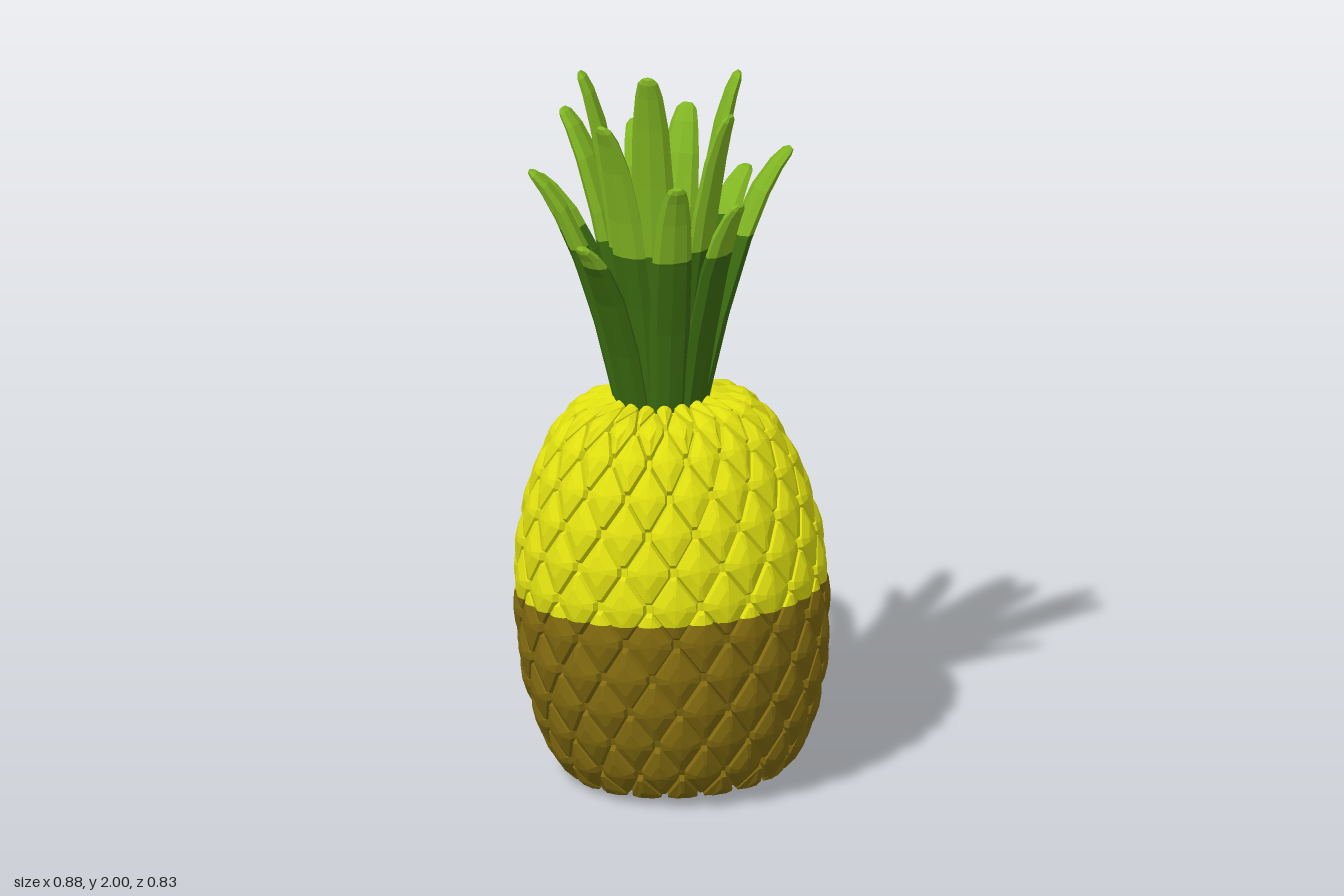
import * as THREE from 'three';

const V3 = THREE.Vector3;
const LEAN = 0.055; // the whole fruit leans slightly towards its right

function paint(name, color) {
  const m = new THREE.MeshStandardMaterial({ color });
  m.name = name;
  return m;
}

// Cut one triangle with the leaning plane at height h, keeping one side
function clip(tri, h, sign) {
  const out = [];
  const d = (p) => sign * (p.y - LEAN * p.x - h);
  tri.forEach((a, i) => {
    const b = tri[(i + 1) % 3];
    const da = d(a), db = d(b);
    if (da >= 0) out.push(a);
    if ((da >= 0) !== (db >= 0)) out.push(a.clone().lerp(b, da / (da - db)));
  });
  return out;
}

// Flat-shaded lower and upper meshes from a list of triangles
function twoTone(name, tris, h, lowMat, highMat, lowName, highName) {
  const group = new THREE.Group();
  group.name = name;
  [[-1, lowMat, lowName], [1, highMat, highName]].forEach(([sign, mat, part]) => {
    const pts = [];
    for (const t of tris) {
      const poly = clip(t, h, sign);
      for (let i = 1; i + 1 < poly.length; i++) pts.push(poly[0], poly[i], poly[i + 1]);
    }
    if (!pts.length) return;
    const geo = new THREE.BufferGeometry().setFromPoints(pts);
    geo.computeVertexNormals();
    const mesh = new THREE.Mesh(geo, mat);
    mesh.name = part;
    group.add(mesh);
  });
  return group;
}

// Triangles between two rings of points
function band(tris, a, b) {
  const n = a.length;
  for (let k = 0; k < n; k++) {
    const j = (k + 1) % n;
    tris.push([a[k], a[j], b[j]], [a[k], b[j], b[k]]);
  }
}

function fan(tris, ring, centre) {
  ring.forEach((p, k) => tris.push([p, ring[(k + 1) % ring.length], centre]));
}

// Fruit: an inset core covered in staggered diamond scales
function bodyTriangles() {
  const profile = new THREE.SplineCurve([
    [0.275, 0.0], [0.32, 0.05], [0.36, 0.14], [0.395, 0.28], [0.407, 0.42], [0.402, 0.6],
    [0.372, 0.75], [0.318, 0.89], [0.24, 0.995], [0.13, 1.03],
  ].map(([r, y]) => new THREE.Vector2(r, y)));
  profile.arcLengthDivisions = 400;
  const around = 18, rows = 12, inset = -0.016;

  const onProfile = (u, off) => {
    const c = THREE.MathUtils.clamp(u, 0, 1);
    const p = profile.getPointAt(c), t = profile.getTangentAt(c);
    return new THREE.Vector2(p.x + t.y * off, Math.max(0, p.y - t.x * off));
  };
  const lean = (p) => p.applyAxisAngle(new V3(0, 0, 1), LEAN).add(new V3(0.04, 0.019, 0));
  const at = (u, phi, off) => {
    const p = onProfile(u, off);
    return lean(new V3(p.x * Math.sin(phi), p.y, p.x * Math.cos(phi)));
  };

  const tris = [];
  // core
  const line = [new THREE.Vector2(0, 0)];
  for (let i = 0; i <= rows * 2; i++) line.push(onProfile(i / (rows * 2), inset));
  line.push(new THREE.Vector2(0, 1.015));
  const pos = new THREE.LatheGeometry(line, around * 2).toNonIndexed().attributes.position;
  for (let i = 0; i < pos.count; i += 3) {
    tris.push([0, 1, 2].map((k) => lean(new V3().fromBufferAttribute(pos, i + k))));
  }
  // scales: diamonds with clipped corners
  const c = 0.12;
  const diamond = [[1 - c, -c], [1 - c, c], [c, 1 - c], [-c, 1 - c],
    [c - 1, c], [c - 1, -c], [-c, c - 1], [c, c - 1]];
  for (let row = 0; row <= rows; row++) {
    for (let i = 0; i < around; i++) {
      const phi = ((i + (row % 2) / 2) / around) * Math.PI * 2;
      const ring = (s, off) => diamond.map(([a, b]) =>
        at((row + b * s) / rows, phi + (a * s * Math.PI) / around, off));
      const foot = ring(1, inset), rim = ring(0.9, 0), hump = ring(0.45, 0.009);
      band(tris, foot, rim);
      band(tris, rim, hump);
      fan(tris, hump, at(row / rows, phi, 0.012));
    }
  }
  return tris;
}

// Leaf: an oval section swept along an outward-curling path
function leafTriangles(tip, rootRadius, halfWidth) {
  const centre = new V3(-0.02, 1.0, 0);
  const out = tip.clone().sub(centre).setY(0).normalize();
  const root = centre.clone().addScaledVector(out, rootRadius);
  const bend = root.clone().lerp(tip, 0.45);
  bend.y = root.y + 0.85 * (tip.y - root.y);
  const path = new THREE.QuadraticBezierCurve3(root, bend, tip);
  const side = new V3(0, 1, 0).cross(out);
  const stations = [[0, 0.85, 0.024], [0.25, 1, 0.026], [0.5, 0.98, 0.025], [0.7, 0.84, 0.022],
    [0.86, 0.64, 0.017], [0.96, 0.47, 0.013], [1, 0.25, 0.006]];
  const rings = stations.map(([t, w, thick]) => {
    const p = path.getPoint(t);
    const n = path.getTangent(t).cross(side).normalize();
    return Array.from({ length: 8 }, (_, k) => {
      const a = (k / 8) * Math.PI * 2;
      return p.clone().addScaledVector(side, Math.cos(a) * w * halfWidth)
        .addScaledVector(n, Math.sin(a) * thick);
    });
  });
  const tris = [];
  for (let i = 0; i + 1 < rings.length; i++) band(tris, rings[i], rings[i + 1]);
  fan(tris, rings[rings.length - 1], tip);
  fan(tris, [...rings[0]].reverse(), root);
  return tris;
}

export function createModel() {
  const yellow = paint('ripe yellow', 0xdede10);
  const brown = paint('golden brown', 0x80690f);
  const lightGreen = paint('light leaf green', 0x80b522);
  const darkGreen = paint('dark leaf green', 0x3b6b10);

  const model = new THREE.Group();
  model.name = 'pineapple';
  model.add(twoTone('fruit', bodyTriangles(), 0.531, brown, yellow, 'lowerFruit', 'upperFruit'));

  const crown = new THREE.Group();
  crown.name = 'crown';
  model.add(crown);

  // leaf tips, outer curling ring first, then the upright inner leaves
  const outer = [
    [-0.05, 1.57, -0.405], [0.18, 1.7, -0.3], [-0.3, 1.69, -0.24], [0.245, 1.635, 0],
    [0.165, 1.71, 0.17], [-0.05, 1.535, 0.31], [-0.3, 1.67, 0.21], [-0.44, 1.575, 0.01],
  ];
  const inner = [
    [-0.13, 1.77, -0.25], [0.12, 1.94, -0.155], [0.18, 1.86, -0.04], [0.07, 2.0, 0.175],
    [-0.03, 1.86, 0.245], [-0.21, 1.94, 0.11], [-0.315, 1.8, 0.05],
  ];
  [[outer, 0.095, 0.054, 'outerLeaf'], [inner, 0.065, 0.058, 'innerLeaf']].forEach(([tips, r, w, name]) => {
    tips.forEach((t) => crown.add(twoTone(name, leafTriangles(new V3(...t), r, w), 1.474,
      darkGreen, lightGreen, 'leafBase', 'leafTip')));
  });

  // stem hidden between the leaves
  const stemGeo = new THREE.CylinderGeometry(0.075, 0.1, 0.46, 8).toNonIndexed();
  stemGeo.computeVertexNormals();
  const stem = new THREE.Mesh(stemGeo, darkGreen);
  stem.name = 'stem';
  stem.position.set(-0.027, 1.23, 0);
  stem.rotation.z = LEAN;
  crown.add(stem);

  return model;
}
